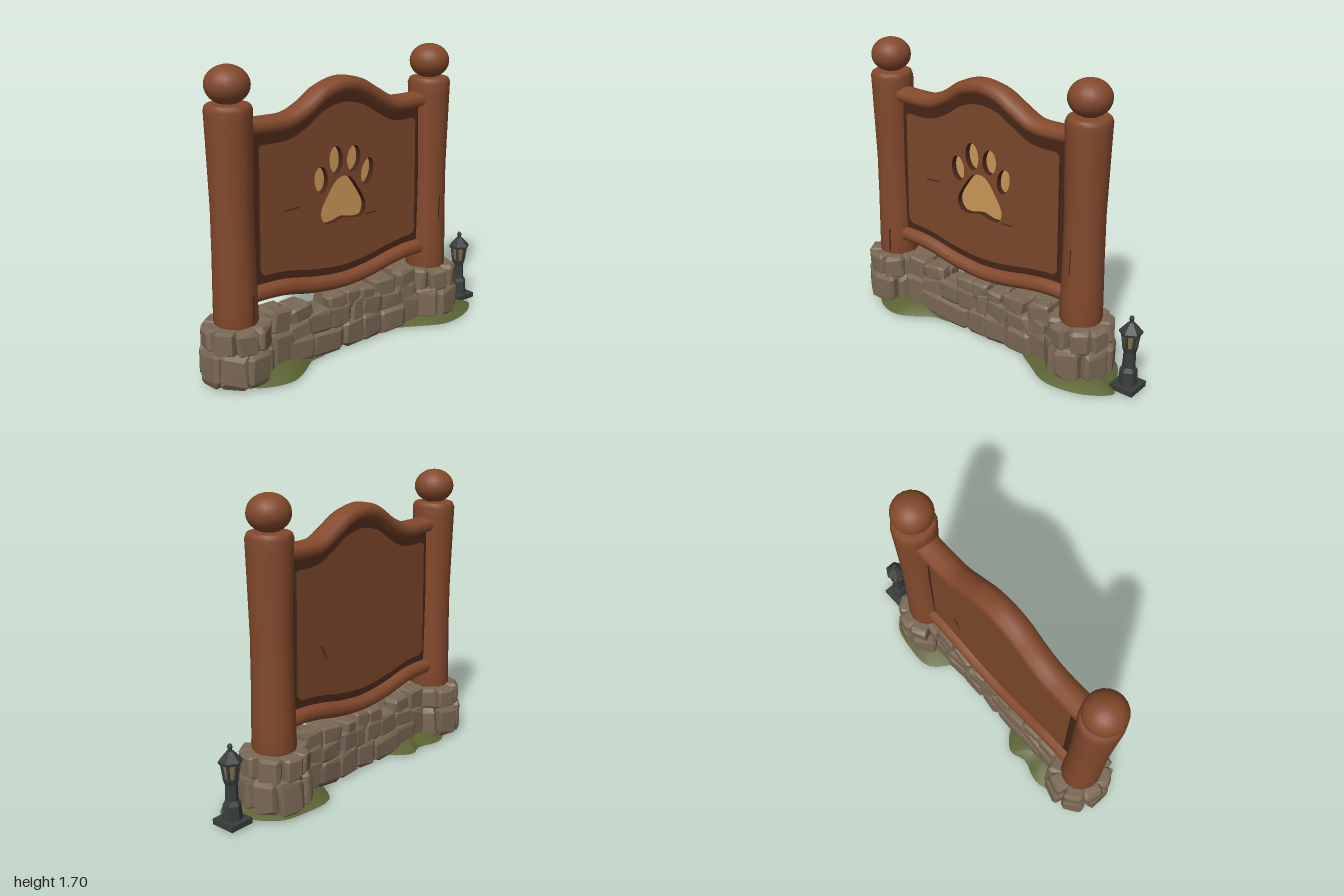
import * as THREE from 'three';
import { mergeGeometries } from 'three/addons/utils/BufferGeometryUtils.js';
import { ConvexGeometry } from 'three/addons/geometries/ConvexGeometry.js';
import { ParametricGeometry } from 'three/addons/geometries/ParametricGeometry.js';

const material = (name, color) => {
  const m = new THREE.MeshStandardMaterial({ color });
  m.name = name;
  return m;
};
const wood = material('wood', 0x83492c);
const boardWood = material('boardWood', 0x7c482b);
const darkWood = material('darkWood', 0x472619);
const tan = material('tan', 0xcd9858);
const stoneMat = material('stone', 0x7a6855);
const mortar = material('mortar', 0x3e433f);
const grass = material('grass', 0x5b6334);
const dirt = material('dirt', 0x403429);
const iron = material('iron', 0x383d3c);
const glass = material('glass', 0x86704f);

const Z = -0.022; // middle plane of the sign
const POSTS = [-0.815, 0.607];

let seed = 7;
const rand = () => {
  seed = (seed * 16807) % 2147483647;
  return seed / 2147483647;
};
const jit = (a) => (rand() * 2 - 1) * a;

function add(parent, name, geo, mat, x = 0, y = 0, z = 0) {
  const mesh = new THREE.Mesh(geo, mat);
  mesh.name = name;
  mesh.position.set(x, y, z);
  parent.add(mesh);
  return mesh;
}

function flat(geo) {
  const g = geo.toNonIndexed();
  g.computeVertexNormals();
  return g;
}

const curve = (pts, closed = false) =>
  new THREE.CatmullRomCurve3(pts.map(([x, y]) => new THREE.Vector3(x, y, 0)), closed);

// Faceted rock: a jittered box with every corner cut off
function rock(w, h, d) {
  const pts = [];
  for (const sx of [-1, 1]) for (const sy of [-1, 1]) for (const sz of [-1, 1]) {
    for (let axis = 0; axis < 3; axis++) {
      const k = [0, 1, 2].map((i) => (i === axis ? 0.97 + jit(0.05) : 0.7 + jit(0.16)));
      pts.push(new THREE.Vector3(sx * k[0] * w / 2, sy * k[1] * h / 2, sz * k[2] * d / 2));
    }
  }
  return new ConvexGeometry(pts);
}

// Ring of stones round a post
function pedestal(g, x) {
  const stones = [];
  for (const [n, y, h, r, depth, start] of [[7, 0.103, 0.205, 0.122, 0.145, 0.2], [8, 0.255, 0.14, 0.113, 0.145, 0.55]]) {
    for (let i = 0; i < n; i++) {
      const a = start + (i / n) * Math.PI * 2 + jit(0.07);
      const s = rock((Math.PI * 2 * (r + 0.03)) / n * (1.08 + jit(0.1)), h * (1 + jit(0.04)), depth);
      s.rotateZ(jit(0.07)).rotateY(a);
      stones.push(s.translate(Math.sin(a) * r, y, Math.cos(a) * r * 1.06));
    }
  }
  add(g, 'pedestalStones', mergeGeometries(stones), stoneMat, x, 0, Z - 0.003);
  add(g, 'pedestalMortar', flat(new THREE.CylinderGeometry(0.14, 0.16, 0.29, 12)), mortar, x, 0.15, Z);
}

// Low wall: stones as [x, y, width, height], laid on both faces
const WALL = [
  [-0.58, 0.12, 0.16, 0.2], [-0.46, 0.08, 0.19, 0.15], [-0.27, 0.07, 0.25, 0.14], [-0.07, 0.08, 0.15, 0.16],
  [0.07, 0.08, 0.16, 0.16], [0.24, 0.07, 0.21, 0.14], [0.38, 0.1, 0.14, 0.17],
  [-0.46, 0.19, 0.17, 0.1], [-0.31, 0.2, 0.16, 0.13], [-0.16, 0.2, 0.15, 0.13], [-0.04, 0.2, 0.09, 0.14],
  [0.07, 0.2, 0.16, 0.13], [0.23, 0.195, 0.18, 0.11], [0.37, 0.2, 0.12, 0.13],
  [-0.58, 0.28, 0.13, 0.13], [-0.44, 0.285, 0.15, 0.09], [-0.18, 0.29, 0.12, 0.09], [-0.07, 0.285, 0.11, 0.11],
  [0.05, 0.275, 0.1, 0.09], [0.19, 0.285, 0.15, 0.1], [0.37, 0.29, 0.13, 0.13],
];
function wall(g) {
  const stones = [];
  for (const side of [1, -1]) {
    for (const [x, y, w, h] of WALL) {
      const s = rock(w * 1.06, h * 1.05, 0.12 - y * 0.06).rotateZ(jit(0.13)).rotateY(jit(0.12));
      stones.push(s.translate(x + (side < 0 ? jit(0.015) : 0), y, -0.01 + side * (0.05 - y * 0.05)));
    }
  }
  add(g, 'wallStones', mergeGeometries(stones), stoneMat);
  add(g, 'wallMortar', new THREE.BoxGeometry(1.06, 0.2, 0.12), mortar, -0.1, 0.105, -0.01);
}

// Domed turf with an earth underside, from a ground outline of [x, z]
function mound(g, outline, height) {
  const edge = curve(outline, true);
  const cx = outline.reduce((s, p) => s + p[0], 0) / outline.length;
  const surface = (rise, up) => new ParametricGeometry((u, v, p) => {
    const e = edge.getPoint(u);
    const s = 0.02 + 0.98 * (up ? v : 1 - v);
    p.set(cx + (e.x - cx) * s, rise * (1 - s ** 2.4), e.y * s);
  }, 40, 6);
  add(g, 'grassMound', surface(height, true), grass);
  add(g, 'moundUnderside', surface(0, false), dirt);
}

function post(g, x) {
  const profile = [[0, 0.305], [0.108, 0.305], [0.12, 0.33], [0.118, 0.45], [0.113, 0.7], [0.111, 0.95],
    [0.117, 1.2], [0.122, 1.4], [0.124, 1.465], [0.116, 1.488], [0.106, 1.496], [0, 1.498]];
  const geo = new THREE.LatheGeometry(profile.map(([r, y]) => new THREE.Vector2(r, y)), 14);
  add(g, 'post', geo.scale(1, 1, 1.05), wood, x, 0, Z);
  add(g, 'postBall', new THREE.SphereGeometry(0.118, 20, 14).scale(1, 0.86, 1), wood, x, 1.59, Z);
}

// Framed board between the posts, with a sunken paw
const TOP = curve([[-0.75, 1.365], [-0.6, 1.358], [-0.47, 1.363], [-0.35, 1.41], [-0.22, 1.49], [-0.09, 1.52],
  [0.04, 1.495], [0.15, 1.435], [0.27, 1.375], [0.42, 1.365], [0.55, 1.375]]);
const BOTTOM = curve([[-0.75, 0.455], [-0.62, 0.455], [-0.5, 0.447], [-0.3, 0.408], [-0.09, 0.388],
  [0.1, 0.405], [0.25, 0.435], [0.4, 0.455], [0.55, 0.455]]);

function boardShape(x0, x1, inset, holes) {
  const row = (c, d) => c.getPoints(70).filter((p) => p.x > x0 && p.x < x1)
    .map((p) => {
      const corner = inset * 0.35 * Math.max(0, 1 - Math.min(p.x - x0, x1 - p.x) / 0.03);
      return new THREE.Vector2(p.x, p.y + d * (inset + corner));
    });
  const s = new THREE.Shape([...row(BOTTOM, 1), ...row(TOP, -1).reverse()]);
  s.holes = holes;
  return s;
}

function pawShapes() {
  const pad = curve([[-0.235, 0.757], [-0.262, 0.82], [-0.21, 0.92], [-0.145, 0.995], [-0.095, 1.01], [-0.045, 0.995],
    [0.015, 0.92], [0.068, 0.82], [0.05, 0.757], [-0.02, 0.752], [-0.09, 0.768], [-0.17, 0.75]], true);
  const shapes = [new THREE.Shape(pad.getPoints(40).slice(0, -1).map((p) => new THREE.Vector2(p.x, p.y)))];
  for (const [x, y, rx, ry, tilt] of [[-0.257, 1.012, 0.047, 0.075, 0.1], [-0.15, 1.108, 0.048, 0.08, 0.06],
    [-0.022, 1.1, 0.049, 0.075, -0.1], [0.08, 1.01, 0.044, 0.077, -0.25]]) {
    const toe = new THREE.Shape();
    toe.absellipse(x, y, rx, ry, 0, Math.PI * 2, false, tilt);
    shapes.push(toe);
  }
  return shapes;
}

function board(g) {
  const paw = pawShapes();
  const slab = (shape, depth) => new THREE.ExtrudeGeometry(shape, { depth, bevelEnabled: false, curveSegments: 16 });
  add(g, 'frontBacking', slab(boardShape(-0.74, 0.54, 0, paw), 0.03), darkWood, 0, 0, Z);
  add(g, 'rearBacking', slab(boardShape(-0.74, 0.54, 0, []), 0.03), darkWood, 0, 0, Z - 0.03);
  add(g, 'frontPanel', slab(boardShape(-0.68, 0.47, 0.095, paw), 0.012), [boardWood, darkWood], 0, 0, Z + 0.03);
  add(g, 'rearPanel', slab(boardShape(-0.68, 0.47, 0.095, []), 0.012), [boardWood, darkWood], 0, 0, Z - 0.042);
  add(g, 'paw', slab(paw, 0.006), tan, 0, 0, Z);
  add(g, 'topRail', new THREE.TubeGeometry(TOP, 48, 0.05, 10).scale(1, 1, 1.5), wood, 0, 0, Z);
  add(g, 'bottomRail', new THREE.TubeGeometry(BOTTOM, 40, 0.054, 10).scale(1, 1, 1.4), wood, 0, 0, Z);

  // Cracks in the wood: x, y, z, length, tilt
  for (const [x, y, z, len, tilt] of [[-0.46, 0.885, Z + 0.042, 0.1, 0.06], [0.11, 0.757, Z + 0.042, 0.08, 0.05],
    [0.25, 0.78, Z - 0.042, 0.1, 1.1], [-0.78, 0.42, Z + 0.118, 0.15, 1.55], [0.6, 0.7, Z + 0.115, 0.16, 1.53]]) {
    add(g, 'woodCrack', new THREE.BoxGeometry(len, 0.007, 0.006), darkWood, x, y, z).rotation.z = tilt;
  }
}

function lamp(g) {
  const l = new THREE.Group();
  l.name = 'lampPost';
  l.position.set(0.928, 0, -0.027);
  g.add(l);
  const hex = (name, r1, r0, y0, y1, mat = iron) =>
    add(l, name, flat(new THREE.CylinderGeometry(r1, r0, y1 - y0, 6)), mat, 0, (y0 + y1) / 2, 0);
  add(l, 'lampBase', new THREE.BoxGeometry(0.143, 0.032, 0.148), iron, 0, 0.016, 0);
  hex('lampPlinth', 0.048, 0.056, 0.03, 0.115);
  hex('lampPlinthCap', 0.036, 0.052, 0.115, 0.14);
  hex('lampColumn', 0.033, 0.037, 0.135, 0.235);
  hex('lampCollar', 0.045, 0.035, 0.23, 0.262);
  hex('lampGlass', 0.047, 0.034, 0.26, 0.35, glass);
  for (let i = 0; i < 6; i++) {
    const pivot = new THREE.Group();
    pivot.name = 'lampBar';
    pivot.rotation.y = (i * Math.PI) / 3;
    l.add(pivot);
    add(pivot, 'bar', new THREE.BoxGeometry(0.014, 0.096, 0.012), iron, 0, 0.305, 0.042).rotation.x = 0.14;
  }
  hex('lampEave', 0.066, 0.062, 0.345, 0.36);
  hex('lampRoof', 0.018, 0.066, 0.36, 0.412);
  hex('lampFinialNeck', 0.009, 0.014, 0.41, 0.43);
  add(l, 'lampFinial', new THREE.SphereGeometry(0.014, 8, 6).scale(1, 1.2, 1), iron, 0, 0.434, 0);
}

export function createModel() {
  const g = new THREE.Group();
  g.name = 'parkSign';
  for (const x of POSTS) {
    pedestal(g, x);
    post(g, x);
  }
  wall(g);
  board(g);
  lamp(g);
  mound(g, [[-0.64, -0.22], [-0.5, -0.18], [-0.4, -0.21], [-0.3, -0.13], [-0.27, -0.03], [-0.29, 0.08], [-0.4, 0.1],
    [-0.5, 0.17], [-0.61, 0.225], [-0.72, 0.215], [-0.83, 0.15], [-0.87, 0.03], [-0.84, -0.1], [-0.75, -0.19]], 0.06);
  mound(g, [[0.25, 0.02], [0.3, -0.1], [0.4, -0.23], [0.6, -0.235], [0.74, -0.2], [0.82, -0.1], [0.87, 0.02],
    [0.91, 0.08], [0.8, 0.18], [0.66, 0.225], [0.53, 0.225], [0.39, 0.15], [0.28, 0.08]], 0.055);
  return g;
}
